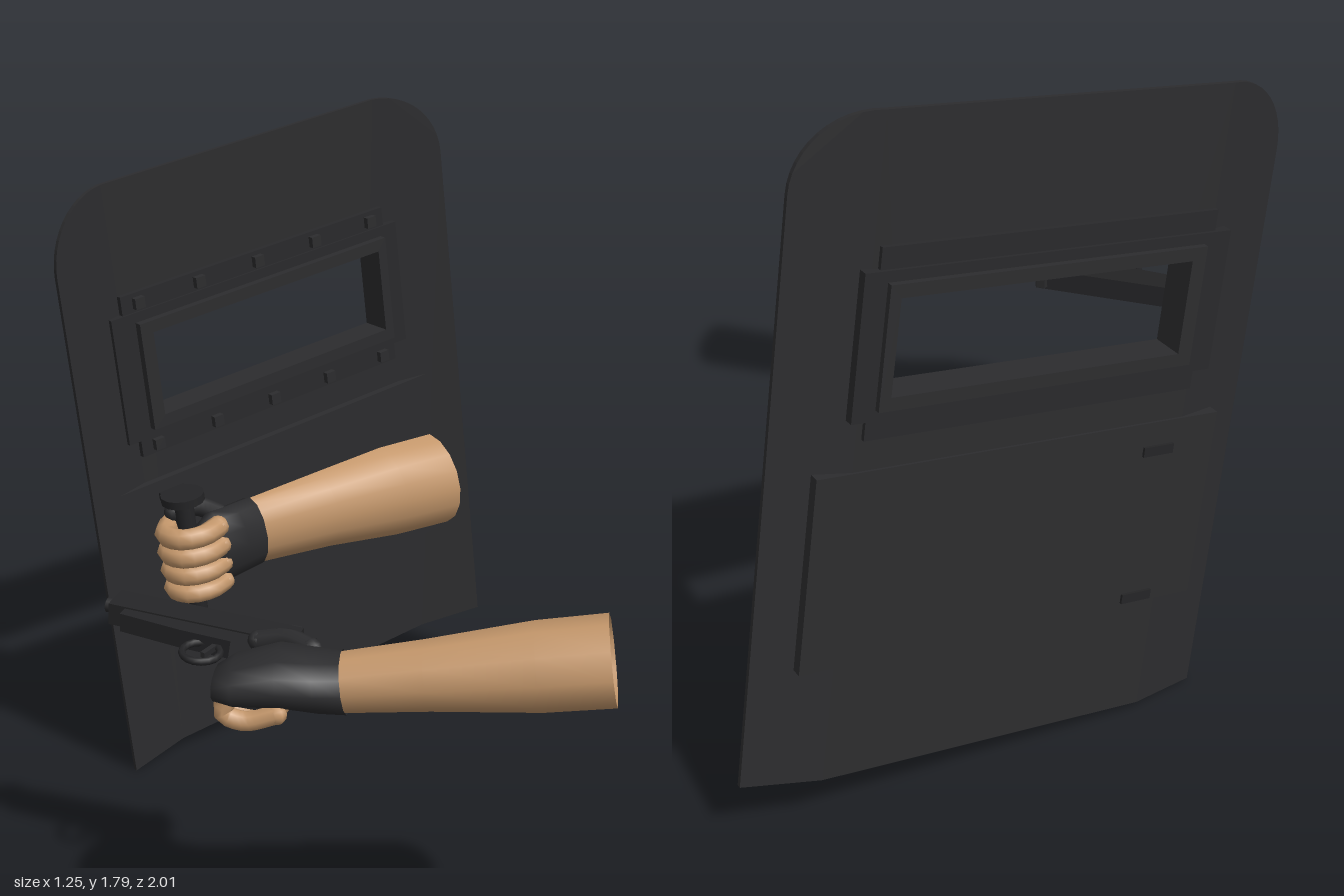
import * as THREE from 'three';

const mat = (name, color) => {
  const m = new THREE.MeshStandardMaterial({ color, side: THREE.DoubleSide });
  m.name = name;
  return m;
};
const V = (x, y, z) => new THREE.Vector3(x, y, z);

// Group whose local axes are x, y (made perpendicular) and x cross y
function frame(name, origin, x, y) {
  const g = new THREE.Group();
  g.name = name;
  const ax = x.clone().normalize();
  const az = ax.clone().cross(y).normalize();
  const ay = az.clone().cross(ax);
  g.quaternion.setFromRotationMatrix(new THREE.Matrix4().makeBasis(ax, ay, az));
  g.position.copy(origin);
  return g;
}

function add(parent, name, geo, material, x = 0, y = 0, z = 0) {
  const m = new THREE.Mesh(geo, material);
  m.name = name;
  m.position.set(x, y, z);
  parent.add(m);
  return m;
}

// Smooth limb along x; sections are [x, centreY, centreZ, radiusY, radiusZ]
function limb(sections, start = 0, arc = Math.PI * 2, sides = 12) {
  const full = arc > 6.28, n = full ? sides : sides + 1;
  const pos = [], idx = [];
  sections.forEach(([x, cy, cz, ry, rz], i) => {
    for (let j = 0; j < n; j++) {
      const t = start + (arc * j) / sides;
      pos.push(x, cy + ry * Math.sin(t), cz + rz * Math.cos(t));
    }
    if (i === 0) return;
    for (let j = 0; j < sides; j++) {
      const a = (i - 1) * n + j, b = (i - 1) * n + ((j + 1) % n);
      idx.push(a, a + n, b, b, a + n, b + n);
    }
  });
  const g = new THREE.BufferGeometry();
  g.setAttribute('position', new THREE.Float32BufferAttribute(pos, 3));
  g.setIndex(idx);
  g.computeVertexNormals();
  return g;
}

function rect(x0, y0, x1, y1, hole) {
  const path = hole ? new THREE.Path() : new THREE.Shape();
  path.moveTo(x0, y0);
  path.lineTo(x1, y0);
  path.lineTo(x1, y1);
  path.lineTo(x0, y1);
  path.closePath();
  return path;
}

function slab(shape, z0, z1) {
  return new THREE.ExtrudeGeometry(shape, { depth: z1 - z0, bevelEnabled: false, curveSegments: 6 }).translate(0, 0, z0);
}

// Bent finger with a rounded tip
function finger(parent, name, points, r, material) {
  const curve = new THREE.CatmullRomCurve3(points);
  add(parent, name, new THREE.TubeGeometry(curve, 10, r, 8), material);
  for (const p of [points[0], points[points.length - 1]]) {
    add(parent, name + 'Tip', new THREE.SphereGeometry(r, 8, 6), material, p.x, p.y, p.z);
  }
}

export function createModel() {
  const model = new THREE.Group();
  model.name = 'shieldAndPistol';
  const shieldMat = mat('shield charcoal', 0x2c2c2e);
  const trimMat = mat('trim charcoal', 0x29292b);
  const skin = mat('skin', 0xc4976b);
  const glove = mat('glove black', 0x2b2b2d);
  const gunMat = mat('gun black', 0x242426);

  // Shield: x across, y up the plate, z towards the holder
  const W = 1.275, H = 1.65, E = 0.19, D = -0.045;
  const shield = frame('shield', V(-0.46, 0.01, -0.33), V(0.839, 0.141, -0.525), V(-0.114, 0.989, 0.087));
  model.add(shield);

  const middle = rect(E, 0, W - E, H);
  middle.holes.push(rect(0.26, 1.0, 1.025, 1.235, true));
  const left = new THREE.Shape();
  left.moveTo(0, 0);
  left.lineTo(E, 0);
  left.lineTo(E, H);
  left.absarc(E, H - E, E, Math.PI / 2, Math.PI, false);
  left.closePath();
  const right = new THREE.Shape();
  right.moveTo(W - E, 0);
  right.lineTo(W, 0);
  right.lineTo(W, H - E);
  right.absarc(W - E, H - E, E, 0, Math.PI / 2, false);
  right.closePath();
  [['shieldMiddle', middle], ['shieldLeftWing', left], ['shieldRightWing', right]].forEach(([name, s]) => {
    const g = slab(s, -0.006, 0.006), p = g.attributes.position;
    for (let i = 0; i < p.count; i++) {
      const x = p.getX(i);
      p.setZ(i, p.getZ(i) + D * Math.min(1, x / E, (W - x) / E));
    }
    g.computeVertexNormals();
    add(shield, name, g, shieldMat);
  });

  // Window frame, bolt strips and lower backing plate
  const outer = rect(0.15, 0.94, 1.11, 1.295);
  outer.holes.push(rect(0.225, 0.97, 1.05, 1.265, true));
  add(shield, 'windowFrame', slab(outer, -0.07, -0.018), trimMat);
  const inner = rect(0.222, 0.967, 1.053, 1.268);
  inner.holes.push(rect(0.26, 1.0, 1.025, 1.235, true));
  add(shield, 'windowLip', slab(inner, -0.085, 0.003), shieldMat);
  for (const y of [0.917, 1.32]) {
    add(shield, 'boltStrip', slab(rect(0.19, y - 0.027, 1.07, y + 0.027), -0.062, -0.024), trimMat);
    for (let i = 0; i < 5; i++) {
      add(shield, 'bolt', new THREE.BoxGeometry(0.03, 0.03, 0.02), shieldMat, 0.24 + i * 0.195, y, -0.018);
    }
  }
  add(shield, 'backingPlate', slab(rect(0.09, 0.31, 1.175, 0.81), -0.057, -0.018), shieldMat);

  // Grip bar with end flanges, and its fasteners on the far side
  add(shield, 'gripBar', new THREE.CylinderGeometry(0.027, 0.027, 0.41, 12), gunMat, 0.257, 0.563, 0.035);
  for (const y of [0.36, 0.765]) {
    add(shield, 'gripFlange', new THREE.CylinderGeometry(0.06, 0.06, 0.022, 14), gunMat, 0.257, y, 0.035);
    add(shield, 'gripBracket', new THREE.BoxGeometry(0.08, 0.022, 0.08), gunMat, 0.257, y, 0.0);
    add(shield, 'gripFastener', new THREE.BoxGeometry(0.085, 0.025, 0.012), gunMat, 0.255, y - 0.03, -0.058);
  }

  // Arm holding the shield: a shell open towards the plate
  add(shield, 'shieldForearm', limb([
    [0.46, 0.58, 0.025, 0.098, 0.062],
    [0.7, 0.565, 0.04, 0.115, 0.09],
    [0.92, 0.545, 0.055, 0.137, 0.115],
    [1.1, 0.525, 0.065, 0.14, 0.12],
  ], -Math.PI / 2, Math.PI, 8), skin);
  add(shield, 'shieldGlove', limb([
    [0.255, 0.6, 0.075, 0.004, 0.004],
    [0.27, 0.6, 0.075, 0.085, 0.045],
    [0.32, 0.6, 0.07, 0.108, 0.062],
    [0.4, 0.59, 0.05, 0.104, 0.066],
    [0.475, 0.58, 0.03, 0.102, 0.066],
  ]), glove);
  for (let i = 0; i < 4; i++) {
    const y = 0.515 + i * 0.055, r = 0.026 + 0.002 * Math.min(i, 2);
    finger(shield, 'shieldFinger', [
      V(0.31, y, 0.11), V(0.25, y, 0.125), V(0.195, y, 0.1), V(0.185, y, 0.04), V(0.225, y, -0.002),
    ], r, skin);
  }
  finger(shield, 'shieldThumb', [V(0.37, 0.67, 0.03), V(0.31, 0.71, 0.01), V(0.24, 0.715, 0.005)], 0.027, glove);

  // Arm holding the pistol: x from wrist to elbow
  const arm = frame('pistolArm', V(0, 0.75, 0.755), V(0.6, 0.09, 0.135), V(0, 1, 0));
  model.add(arm);
  add(arm, 'pistolForearm', limb([
    [-0.01, 0, 0, 0.067, 0.083],
    [0.2, 0, 0, 0.08, 0.094],
    [0.45, 0, 0, 0.102, 0.115],
    [0.615, 0, 0, 0.105, 0.115],
  ], 0, Math.PI * 2, 10), skin);
  add(arm, 'pistolGlove', limb([
    [-0.285, 0.035, 0.02, 0.004, 0.004],
    [-0.275, 0.035, 0.02, 0.03, 0.085],
    [-0.23, 0.035, 0.015, 0.05, 0.11],
    [-0.13, 0.03, 0, 0.066, 0.118],
    [-0.05, 0.01, 0, 0.07, 0.1],
    [0.012, 0, 0, 0.072, 0.088],
  ]), glove);
  for (let i = 0; i < 4; i++) {
    const z = -0.07 + i * 0.047;
    finger(arm, 'pistolFinger', [
      V(-0.25, 0.01, z), V(-0.26, -0.02, z), V(-0.215, -0.045, z), V(-0.14, -0.035, z),
    ], 0.024, skin);
  }
  finger(arm, 'pistolThumb', [V(-0.07, 0.05, -0.09), V(-0.13, 0.065, -0.125), V(-0.2, 0.06, -0.14)], 0.026, glove);

  // Pistol held on its side: x to the muzzle, y to the sights
  const gun = frame('pistol', V(-0.075, 0.745, 0.535), V(-0.905, 0.07, -0.42), V(0.42, 0.1, -0.9));
  model.add(gun);
  add(gun, 'slide', new THREE.BoxGeometry(0.47, 0.075, 0.056), gunMat, 0.237, 0.005, 0);
  add(gun, 'barrel', new THREE.CylinderGeometry(0.018, 0.018, 0.03, 10).rotateZ(Math.PI / 2), trimMat, 0.478, 0.008, 0);
  add(gun, 'frontSight', new THREE.BoxGeometry(0.03, 0.02, 0.014), trimMat, 0.45, 0.05, 0);
  add(gun, 'rearSight', new THREE.BoxGeometry(0.025, 0.018, 0.04), trimMat, 0.025, 0.05, 0);
  add(gun, 'hammer', new THREE.BoxGeometry(0.03, 0.035, 0.016), trimMat, -0.008, -0.005, 0);
  const body = new THREE.Shape();
  [[0.43, -0.03], [0.43, -0.06], [0.27, -0.075], [0.14, -0.078], [0.08, -0.27], [-0.05, -0.26], [0.01, -0.08], [-0.02, -0.03]]
    .forEach(([x, y], i) => (i ? body.lineTo(x, y) : body.moveTo(x, y)));
  body.closePath();
  add(gun, 'frameAndGrip', slab(body, -0.024, 0.024), gunMat);
  add(gun, 'triggerGuard', new THREE.TorusGeometry(0.045, 0.009, 6, 16), gunMat, 0.2, -0.112, 0);
  add(gun, 'trigger', new THREE.BoxGeometry(0.012, 0.05, 0.014), trimMat, 0.185, -0.1, 0).rotation.z = 0.25;

  return model;
}
